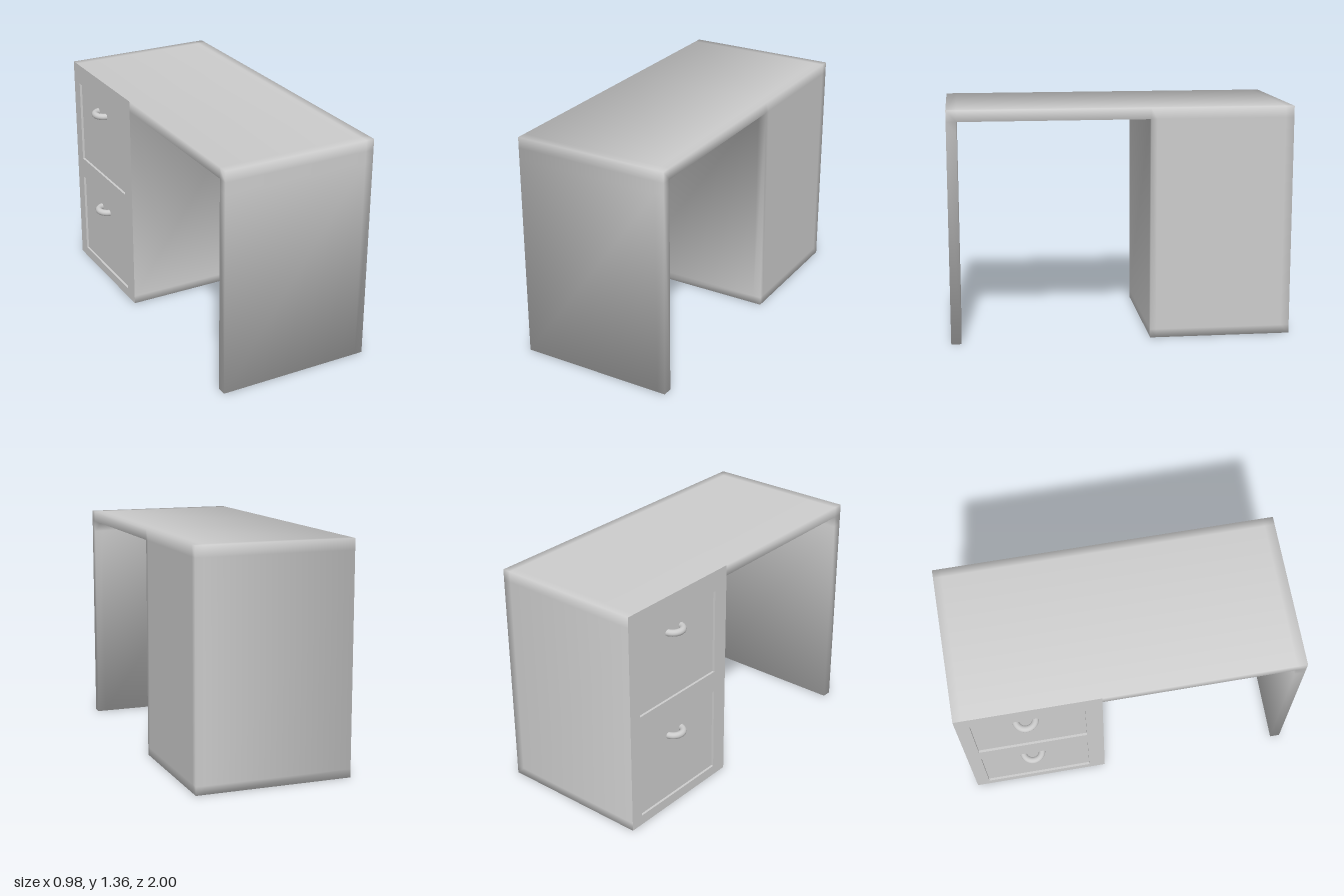
import * as THREE from 'three';

const material = new THREE.MeshStandardMaterial({ color: 0xcccccc });
const X0 = -0.44, X1 = 0.49, H = 1.36, UNDER = 1.295;
const Z0 = -1, Z1 = 1, KNEE0 = -0.165, KNEE1 = 0.94;
const RECESS = 0.015;
const drawers = [
  { name: 'lower', y0: 0.06, y1: 0.585, handleY: 0.47 },
  { name: 'upper', y0: 0.715, y1: 1.235, handleY: 1.13 },
];
const DZ0 = -0.92, DZ1 = -0.265;

function part(name, geometry, x = 0, y = 0, z = 0) {
  const mesh = new THREE.Mesh(geometry, material);
  mesh.name = name;
  mesh.position.set(x, y, z);
  return mesh;
}

function rectangle(a, b, c, d, type = THREE.Shape) {
  return new type([[a, b], [c, b], [c, d], [a, d]].map(p => new THREE.Vector2(...p)));
}

// Desk shell: filled grid cells whose shared vertices give softly shaded edges
function shellGeometry() {
  const grid = [
    [X0, 0.44, X1],
    [0, 0.05, UNDER, H],
    [Z0, -0.95, -0.2, KNEE0, KNEE1, Z1],
  ];
  const filled = c => c.every((v, a) => v >= 0 && v < grid[a].length - 1) &&
    (c[1] === 2 || c[2] < 3 || c[2] === 4);
  const positions = [], normals = [], index = [], lookup = new Map();

  const vertex = (corner, axis, sign) => {
    const key = corner.join();
    if (!lookup.has(key)) {
      lookup.set(key, positions.length / 3);
      const p = corner.map((v, a) => grid[a][v]);
      // The end panel has its support loop close under the top
      if (p[2] > 0 && corner[1] === 1) p[1] = 1.23;
      positions.push(...p);
      normals.push(0, 0, 0);
    }
    const i = lookup.get(key);
    normals[i * 3 + axis] += sign;
    return i;
  };

  for (let i = 0; i < 2; i++) for (let j = 0; j < 3; j++) for (let k = 0; k < 5; k++) {
    const cell = [i, j, k];
    if (!filled(cell)) continue;
    for (let axis = 0; axis < 3; axis++) for (const sign of [-1, 1]) {
      const next = [...cell];
      next[axis] += sign;
      if (filled(next)) continue;
      const u = (axis + 1) % 3, v = (axis + 2) % 3;
      const q = [[0, 0], [1, 0], [1, 1], [0, 1]].map(([du, dv]) => {
        const c = [...cell];
        c[axis] += sign > 0 ? 1 : 0;
        c[u] += du;
        c[v] += dv;
        return vertex(c, axis, sign);
      });
      if (sign < 0) q.reverse();
      // The drawer frame closes this side of the pedestal
      if (axis === 0 && sign < 0 && k < 3) continue;
      index.push(q[0], q[1], q[2], q[0], q[2], q[3]);
    }
  }
  const geometry = new THREE.BufferGeometry();
  geometry.setAttribute('position', new THREE.Float32BufferAttribute(positions, 3));
  geometry.setAttribute('normal', new THREE.Float32BufferAttribute(normals, 3));
  geometry.setIndex(index);
  geometry.normalizeNormals();
  return geometry;
}

export function createModel() {
  const model = new THREE.Group();
  model.name = 'desk';
  model.add(part('deskShell', shellGeometry()));

  // Pedestal face with two drawer openings
  const frame = rectangle(Z0, 0, KNEE0, H);
  for (const d of drawers) frame.holes.push(rectangle(DZ0, d.y0, DZ1, d.y1, THREE.Path));
  model.add(part('drawerFrame', new THREE.ShapeGeometry(frame).rotateY(-Math.PI / 2), X0));

  for (const d of drawers) {
    const drawer = new THREE.Group();
    drawer.name = d.name + 'Drawer';

    // Side walls of the opening
    const rim = rectangle(DZ0 - 0.01, d.y0 - 0.01, DZ1 + 0.01, d.y1 + 0.01);
    rim.holes.push(rectangle(DZ0, d.y0, DZ1, d.y1, THREE.Path));
    const rimGeometry = new THREE.ExtrudeGeometry(rim, { depth: 0.02, bevelEnabled: false });
    drawer.add(part('drawerRecess', rimGeometry.rotateY(-Math.PI / 2), X0 + 0.0205));

    // Recessed drawer front
    const front = new THREE.BoxGeometry(0.02, d.y1 - d.y0, DZ1 - DZ0);
    drawer.add(part('drawerFront', front, X0 + RECESS + 0.01, (d.y0 + d.y1) / 2, (DZ0 + DZ1) / 2));

    // Half-ring pull, bulging out of the drawer
    const pull = new THREE.TorusGeometry(0.058, 0.02, 12, 24, Math.PI);
    pull.rotateZ(Math.PI / 2).rotateX(Math.PI / 2);
    drawer.add(part('drawerHandle', pull, -0.412, d.handleY, -0.607));
    model.add(drawer);
  }
  return model;
}
